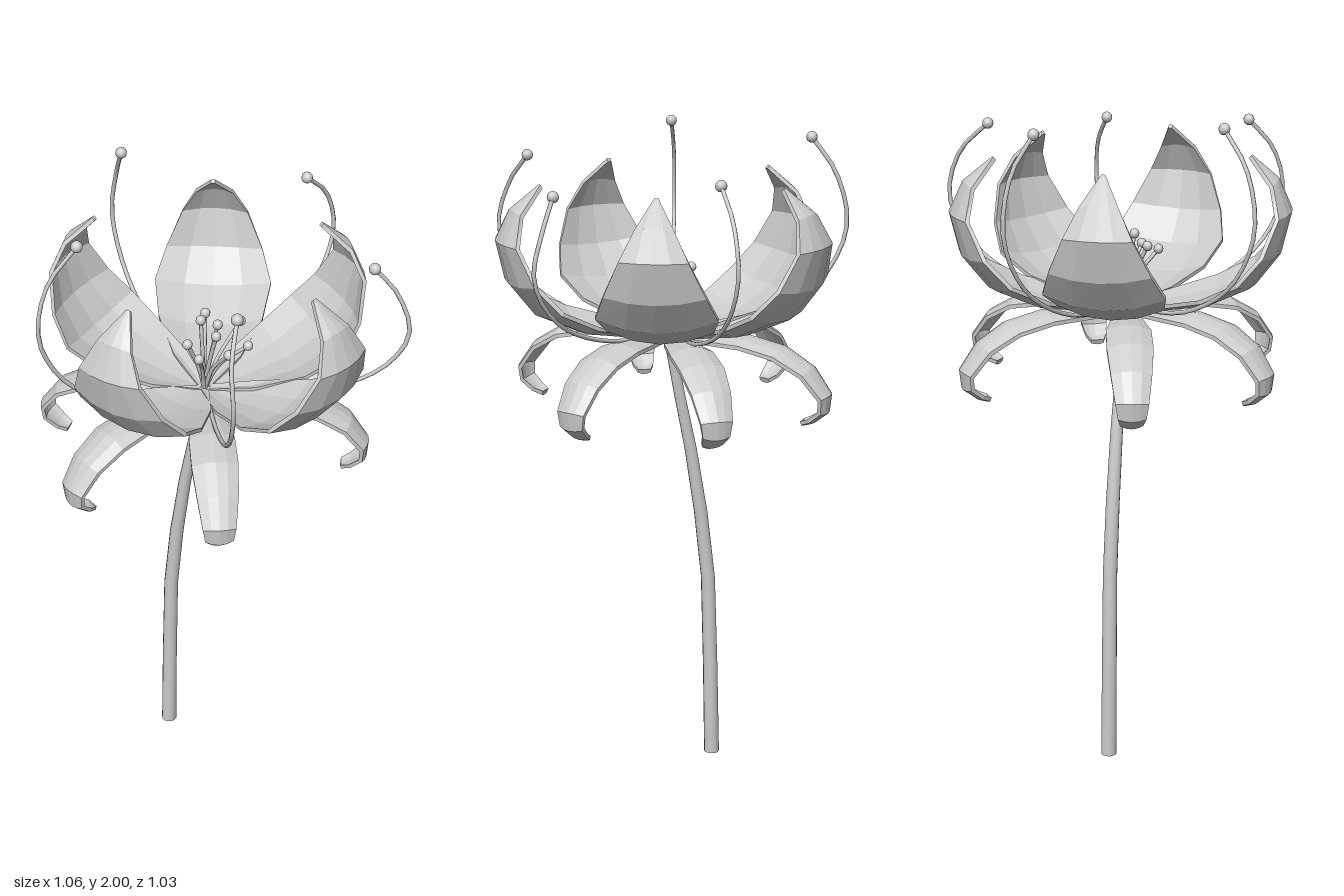
import * as THREE from 'three';
import { toCreasedNormals } from 'three/addons/utils/BufferGeometryUtils.js';

const smooth = new THREE.MeshStandardMaterial({ color: 0xcccccc });
const faceted = new THREE.MeshStandardMaterial({ color: 0xcccccc, flatShading: true });
const V = (x, y, z) => new THREE.Vector3(x, y, z);
const CENTRE = V(-0.045, 0, -0.005);

// Closed skin over rings of points, capped at both ends
function loft(rings, crease) {
  const n = rings[0].length, last = (rings.length - 1) * n, index = [];
  for (let i = 0; i < rings.length - 1; i++) {
    for (let j = 0; j < n; j++) {
      const a = i * n + j, b = i * n + (j + 1) % n;
      index.push(a, b, b + n, a, b + n, a + n);
    }
  }
  for (let j = 1; j < n - 1; j++) index.push(0, j + 1, j, last, last + j, last + j + 1);
  const geo = new THREE.BufferGeometry().setFromPoints(rings.flat());
  geo.setIndex(index);
  return toCreasedNormals(geo, crease);
}

// Thin leaf running along +z; each station is [z, y, half width]
function leaf(stations, cup, thickness, reach) {
  const maxWidth = Math.max(...stations.map(s => s[2]));
  const across = [-1, -0.5, 0, 0.5, 1];
  const rings = stations.map(([z, y, w], i) => {
    const p = stations[Math.max(i - 1, 0)], q = stations[Math.min(i + 1, stations.length - 1)];
    const len = Math.hypot(q[0] - p[0], q[1] - p[1]);
    const nz = -(q[1] - p[1]) / len, ny = (q[0] - p[0]) / len;
    const point = (u, side) => {
      const d = cup * u * u * w / maxWidth + side * thickness / 2;
      return V(u * w, y + ny * d, z * reach + nz * d);
    };
    return [...across.map(u => point(u, -1)), ...across.slice().reverse().map(u => point(u, 1))];
  });
  return loft(rings, 0.01);
}

function add(group, name, geo, material) {
  const mesh = new THREE.Mesh(geo, material);
  mesh.name = name;
  group.add(mesh);
  return mesh;
}

// Thin filament with a small ball at its end
function stamen(name, points, radius, ball) {
  const group = new THREE.Group();
  group.name = name;
  const curve = new THREE.CatmullRomCurve3(points);
  add(group, 'filament', new THREE.TubeGeometry(curve, 20, radius, 6), smooth);
  add(group, 'anther', new THREE.SphereGeometry(ball, 10, 8), smooth)
    .position.copy(points[points.length - 1]);
  return group;
}

export function createModel() {
  const flower = new THREE.Group();
  flower.name = 'flower';

  // Bent, tapering stem: [y, z, radius]
  const stemRings = [
    [0, -0.16, 0.024], [0.3, -0.153, 0.023], [0.6, -0.143, 0.022], [0.82, -0.117, 0.021],
    [1.03, -0.082, 0.019], [1.2, -0.046, 0.017], [1.3, -0.026, 0.016], [1.4, -0.008, 0.016],
  ].map(([y, z, r]) => Array.from({ length: 12 }, (_, j) => {
    const a = j / 12 * Math.PI * 2;
    return V(-0.05 + 0.005 * y / 1.4 + Math.sin(a) * r, y, z + Math.cos(a) * r);
  }));
  add(flower, 'stem', loft(stemRings, 0.9), smooth);

  // Upright petals, their tips curling inwards: [degrees, reach]
  const petalStations = [
    [0, 1.40, 0.015], [0.13, 1.408, 0.1], [0.28, 1.435, 0.155], [0.41, 1.495, 0.175],
    [0.485, 1.59, 0.145], [0.515, 1.71, 0.098], [0.475, 1.80, 0.055], [0.39, 1.868, 0.006],
  ];
  [[-1, 1], [63, 0.93], [126, 1], [190, 0.92], [277, 0.94]].forEach(([deg, reach]) => {
    const petal = add(flower, 'petal', leaf(petalStations, 0.04, 0.012, reach), faceted);
    petal.position.copy(CENTRE);
    petal.rotation.y = THREE.MathUtils.degToRad(deg);
  });

  // Drooping sepals underneath: [degrees, reach]
  const sepalStations = [
    [0, 1.39, 0.012], [0.12, 1.404, 0.045], [0.25, 1.41, 0.065], [0.36, 1.388, 0.066],
    [0.45, 1.335, 0.058], [0.505, 1.26, 0.047], [0.5, 1.21, 0.04], [0.46, 1.178, 0.032], [0.43, 1.168, 0.02],
  ];
  [[32, 0.95], [84, 1], [134, 1.02], [202, 1], [258, 0.96], [315, 0.96]].forEach(([deg, reach]) => {
    const sepal = add(flower, 'sepal', leaf(sepalStations, -0.018, 0.012, reach), faceted);
    sepal.position.copy(CENTRE);
    sepal.rotation.y = THREE.MathUtils.degToRad(deg);
  });

  // Long outer stamens: [widest x, widest z, tip x, tip y, tip z]
  [
    [0.13, -0.51, 0.075, 1.98, -0.415], [-0.5, -0.215, -0.39, 1.98, -0.16],
    [0.528, 0.02, 0.395, 1.915, 0.015], [-0.408, 0.4, -0.315, 1.915, 0.335],
    [0.236, 0.508, 0.17, 1.875, 0.425],
  ].forEach(([wx, wz, x, y, z]) => {
    const at = (f, h) => V(CENTRE.x + (wx - CENTRE.x) * f, h, CENTRE.z + (wz - CENTRE.z) * f);
    const rise = y - 1.42;
    flower.add(stamen('longStamen', [
      at(0, 1.40), at(0.45, 1.425), at(0.78, 1.42 + rise * 0.17), at(0.94, 1.42 + rise * 0.36),
      at(1, 1.42 + rise * 0.56), at(0.93, 1.42 + rise * 0.82), V(x, y, z),
    ], 0.0065, 0.017));
  });

  // Short inner stamens, bending outwards: tip positions
  [
    [-0.115, 1.59, -0.008], [-0.03, 1.62, -0.03], [0.02, 1.61, -0.055],
    [-0.13, 1.57, 0.048], [-0.055, 1.61, 0.048], [-0.017, 1.62, 0.022],
    [0.077, 1.59, 0.03], [-0.06, 1.57, 0.098], [0.025, 1.56, 0.1],
  ].forEach(([x, y, z]) => {
    const base = V(CENTRE.x, 1.40, CENTRE.z), tip = V(x, y, z);
    const middle = base.clone().lerp(tip, 0.35).setY(1.49);
    flower.add(stamen('shortStamen', [base, middle, tip], 0.006, 0.015));
  });

  return flower;
}
